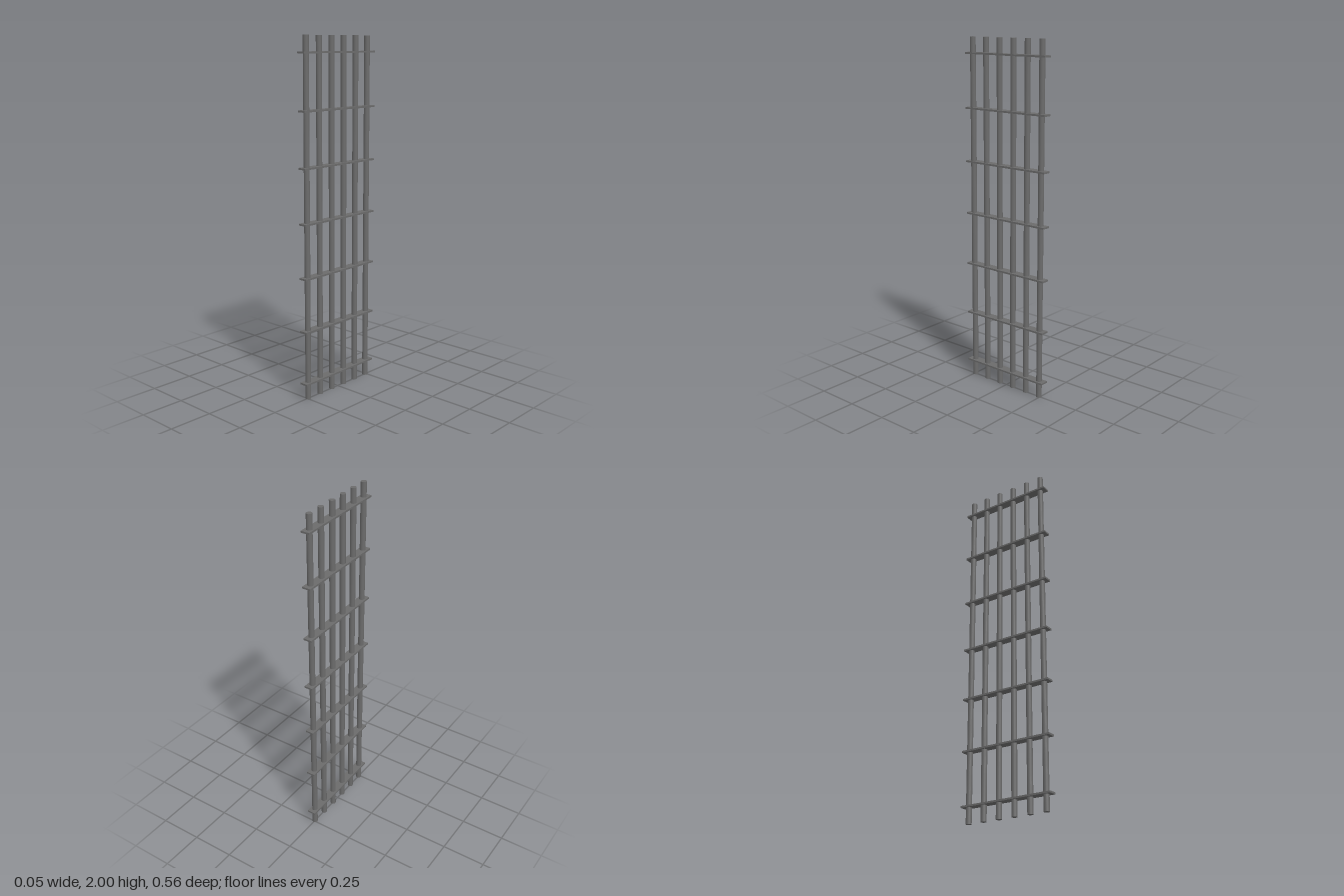
import * as THREE from 'three';

export function createModel() {
  const group = new THREE.Group();
  const iron = new THREE.MeshStandardMaterial({ color: 0x6b6b6b });

  // Upright round bars, evenly spaced along z
  const barCount = 6, barSpacing = 0.097;
  const barGeometry = new THREE.CylinderGeometry(0.016, 0.016, 2, 20);
  for (let i = 0; i < barCount; i++) {
    const bar = new THREE.Mesh(barGeometry, iron);
    bar.name = `verticalBar${i + 1}`;
    bar.position.set(0, 1, (i - (barCount - 1) / 2) * barSpacing);
    group.add(bar);
  }

  // Flat cross straps that the bars pass through
  const strapCount = 7, strapSpacing = 0.303;
  const strapGeometry = new THREE.BoxGeometry(0.05, 0.01, 0.56);
  for (let i = 0; i < strapCount; i++) {
    const strap = new THREE.Mesh(strapGeometry, iron);
    strap.name = `crossStrap${i + 1}`;
    strap.position.set(0, 1.002 + (i - (strapCount - 1) / 2) * strapSpacing, 0);
    group.add(strap);
  }

  return group;
}
